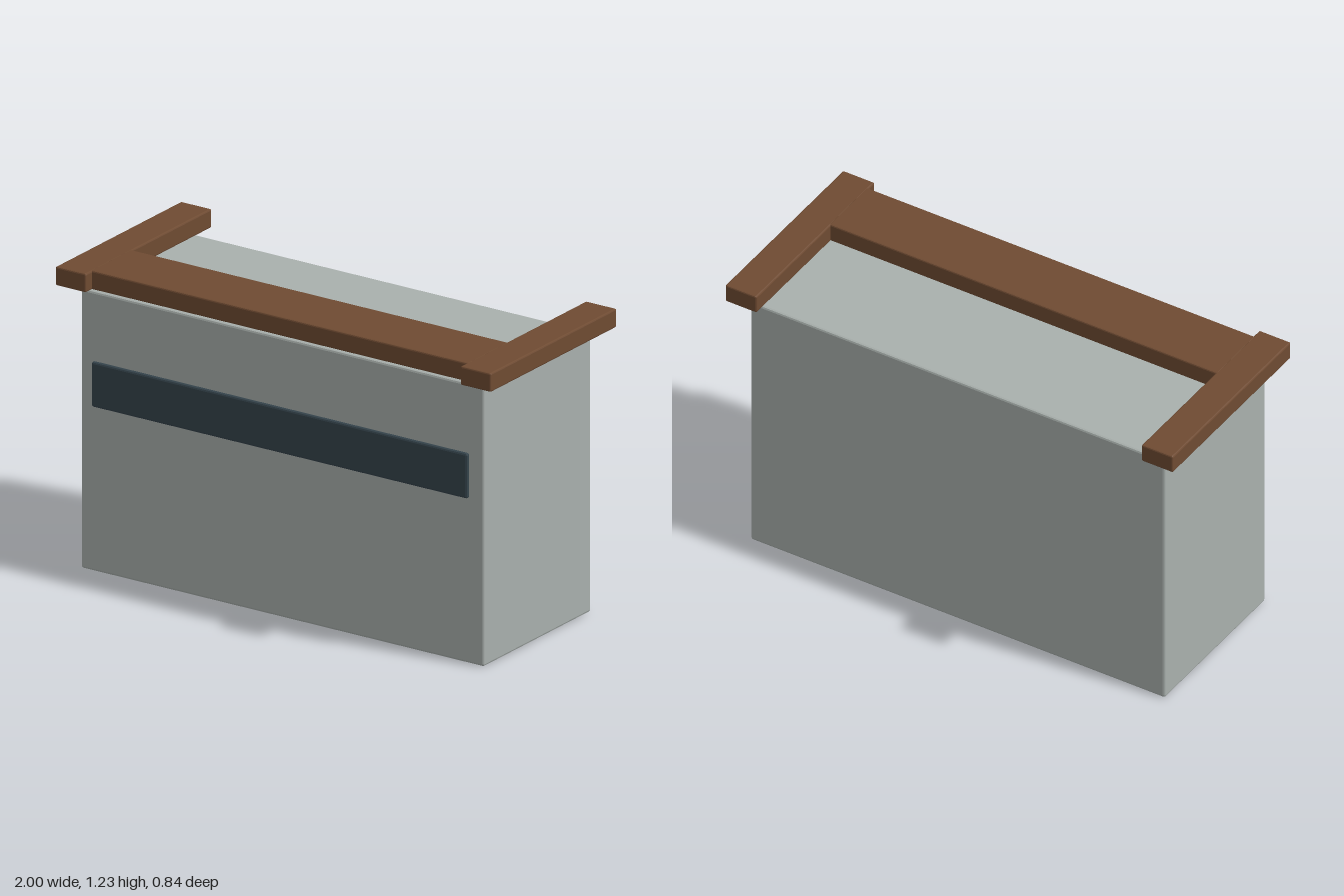
import * as THREE from 'three';
import { RoundedBoxGeometry } from 'three/addons/geometries/RoundedBoxGeometry.js';

export function createModel() {
  const group = new THREE.Group();
  const mat = (name, color) => {
    const m = new THREE.MeshStandardMaterial({ color });
    m.name = name;
    return m;
  };
  const grey = mat('greyPanel', 0xa9b0ad);
  const wood = mat('brownWood', 0x6f4b32);
  const slate = mat('darkSlate', 0x35444c);

  // Box with narrow, crisp edge bevels, placed by its bounds
  const block = (name, material, [x0, x1], [y0, y1], [z0, z1], bevel) => {
    const geometry = new RoundedBoxGeometry(x1 - x0, y1 - y0, z1 - z0, 1, bevel);
    geometry.computeVertexNormals();
    const mesh = new THREE.Mesh(geometry, material);
    mesh.name = name;
    mesh.position.set((x0 + x1) / 2, (y0 + y1) / 2, (z0 + z1) / 2);
    group.add(mesh);
  };

  // Counter body and the inset base plate beneath it
  block('counterBody', grey, [-0.925, 0.925], [0.002, 1.135], [-0.358, 0.358], 0.009);
  const base = new THREE.Mesh(new THREE.BoxGeometry(1.8, 0.008, 0.665), slate);
  base.name = 'basePlate';
  base.position.y = 0.004;
  group.add(base);

  // Dark strip across the front
  block('frontStrip', slate, [-0.863, 0.863], [0.675, 0.858], [0.36, 0.38], 0.008);

  // U-shaped worktop: a front slab between two side rails
  block('worktopFront', wood, [-0.87, 0.87], [1.15, 1.226], [0.108, 0.378], 0.006);
  for (const [name, s] of [['worktopLeft', 1], ['worktopRight', -1]]) {
    const xs = [s * 0.86, s * 1.0].sort((a, b) => a - b);
    block(name, wood, xs, [1.15, 1.226], [-0.42, 0.42], 0.006);
  }
  return group;
}
